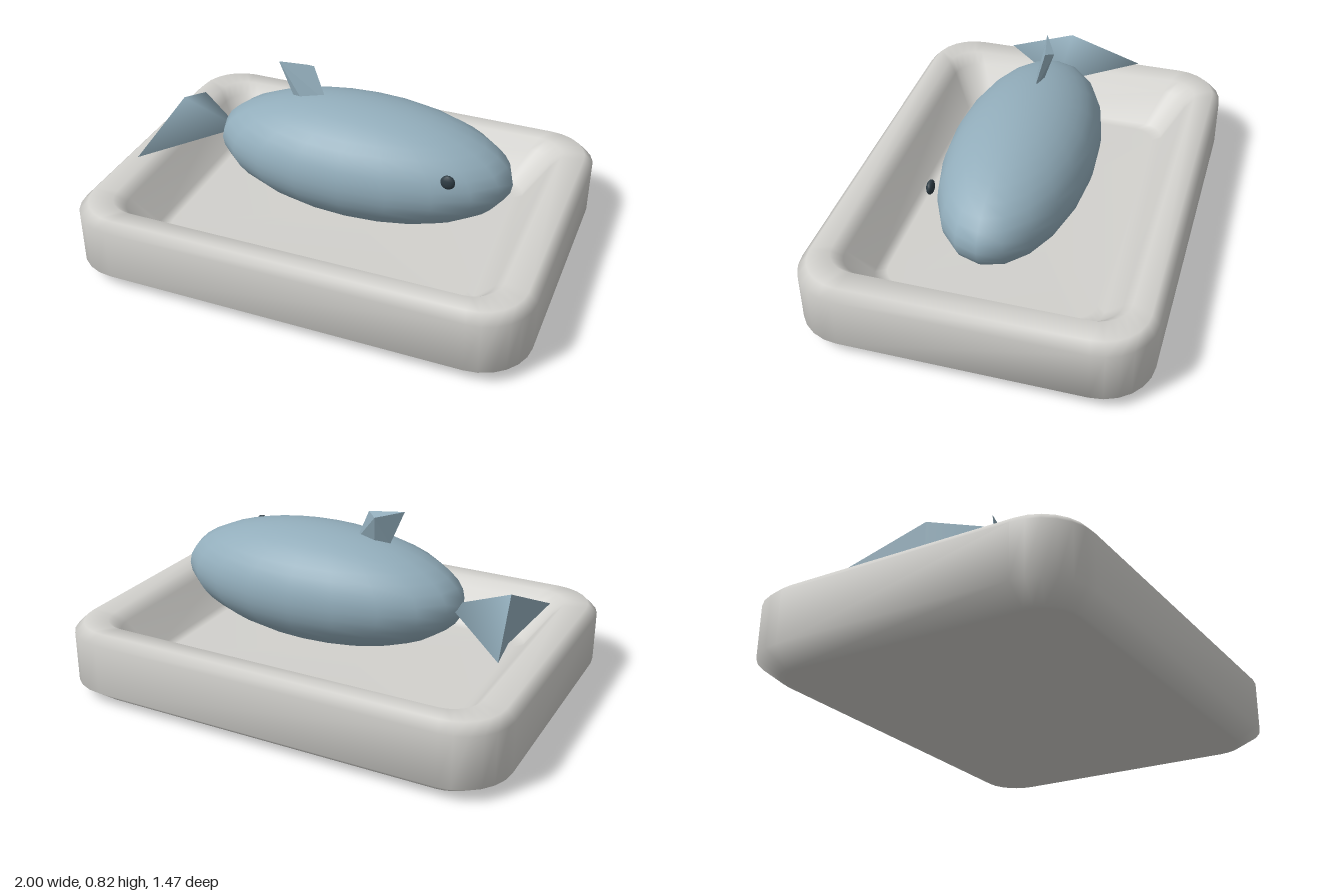
import * as THREE from 'three';
import { ConvexGeometry } from 'three/addons/geometries/ConvexGeometry.js';

const material = (name, color, side = THREE.FrontSide) => {
  const m = new THREE.MeshStandardMaterial({ color, side });
  m.name = name;
  return m;
};

const part = (name, geometry, mat) => {
  const mesh = new THREE.Mesh(geometry, mat);
  mesh.name = name;
  return mesh;
};

// Points of a rounded rectangle, running from +x towards +z
function roundedLoop(hx, hz, r, y, steps = 6) {
  const points = [];
  const corners = [[1, 1], [-1, 1], [-1, -1], [1, -1]];
  corners.forEach(([sx, sz], q) => {
    for (let i = 0; i <= steps; i++) {
      const t = (q + i / steps) * Math.PI / 2;
      points.push([sx * (hx - r) + r * Math.cos(t), y, sz * (hz - r) + r * Math.sin(t)]);
    }
  });
  return points;
}

// Joins loops with quads and caps both ends
function loftLoops(loops) {
  const n = loops[0].length;
  const index = [];
  for (let k = 0; k < loops.length - 1; k++) {
    for (let j = 0; j < n; j++) {
      const a = k * n + j, b = k * n + (j + 1) % n;
      index.push(a, a + n, b, b, a + n, b + n);
    }
  }
  const first = loops.length * n, last = first + 1, top = (loops.length - 1) * n;
  for (let j = 0; j < n; j++) {
    const next = (j + 1) % n;
    index.push(first, j, next, last, top + next, top + j);
  }
  const centres = [[0, loops[0][0][1], 0], [0, loops[loops.length - 1][0][1], 0]];
  const g = new THREE.BufferGeometry();
  g.setAttribute('position', new THREE.Float32BufferAttribute([...loops, centres].flat(2), 3));
  g.setIndex(index);
  g.computeVertexNormals();
  return g;
}

function faces(points, index) {
  const g = new THREE.BufferGeometry();
  g.setAttribute('position', new THREE.Float32BufferAttribute(points.flat(), 3));
  g.setIndex(index);
  g.computeVertexNormals();
  return g;
}

export function createModel() {
  const model = new THREE.Group();
  model.name = 'fishInTray';
  const ceramic = material('pale grey', 0xd2d1cd);
  const skin = material('blue grey', 0x92adbb);
  const finSkin = skin.clone();
  finSkin.side = THREE.DoubleSide;
  const dark = material('dark slate', 0x2f3d45);

  // Tray: base, outer wall, rim, inner wall, floor
  const loops = [
    [0.88, 0.64, 0.14, 0], [0.9, 0.66, 0.15, 0], [1, 0.735, 0.22, 0.06],
    [1, 0.735, 0.22, 0.285], [0.96, 0.7, 0.19, 0.325], [0.86, 0.62, 0.13, 0.325],
    [0.82, 0.58, 0.12, 0.28], [0.72, 0.49, 0.1, 0.14], [0.68, 0.45, 0.1, 0.13],
  ].map((l) => roundedLoop(...l));
  model.add(part('tray', loftLoops(loops), ceramic));

  // Body
  const body = part('body', new THREE.SphereGeometry(1, 20, 20), skin);
  body.scale.set(0.665, 0.26, 0.312);
  body.position.set(0.09, 0.45, 0);
  model.add(body);

  // Tail: a flared four-sided fan with a notched end
  const root = [-0.51, 0.45, 0];
  const upper = [-0.78, 0.55, 0], lower = [-0.78, 0.33, 0];
  const nearTip = [-0.85, 0.4, 0.32], farTip = [-0.85, 0.4, -0.32];
  model.add(
    part('tailSides', faces([root, upper, nearTip, lower, farTip],
      [0, 1, 2, 0, 2, 3, 0, 3, 4, 0, 4, 1]), finSkin),
    part('tailEnd', faces([upper, nearTip, lower, farTip], [0, 2, 1, 0, 3, 2]), finSkin),
  );

  // Dorsal fin, leaning back
  const finPoints = [
    [-0.3, 0.825, 0], [-0.15, 0.815, -0.03], [-0.19, 0.8, -0.06],
    [-0.235, 0.67, 0], [-0.08, 0.67, 0], [-0.19, 0.67, 0.018], [-0.17, 0.67, -0.018],
  ].map((p) => new THREE.Vector3(...p));
  model.add(part('dorsalFin', new ConvexGeometry(finPoints), skin));

  // Eye
  const eye = part('eye', new THREE.SphereGeometry(1, 12, 8), dark);
  eye.scale.set(0.031, 0.031, 0.016);
  eye.position.set(0.545, 0.565, 0.252);
  model.add(eye);

  return model;
}
